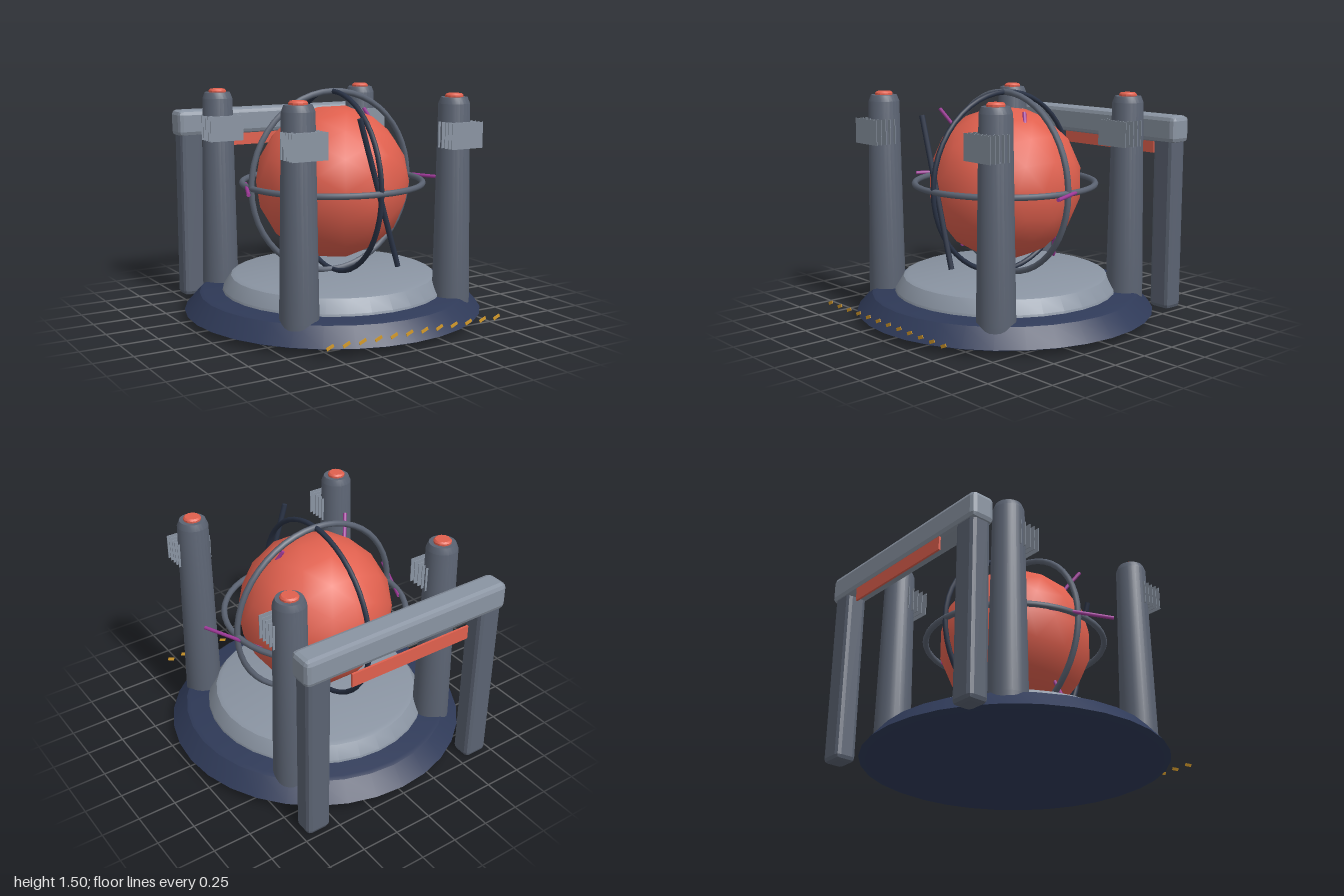
import * as THREE from 'three';
import { toCreasedNormals } from 'three/addons/utils/BufferGeometryUtils.js';
import { RoundedBoxGeometry } from 'three/addons/geometries/RoundedBoxGeometry.js';

const paint = (color, extra = {}) => new THREE.MeshStandardMaterial({ color, ...extra });
const V = (x, y, z) => new THREE.Vector3(x, y, z);

export function createModel() {
  const model = new THREE.Group();
  const navy = paint(0x2f3a58), coral = paint(0xe0604e), steel = paint(0x5b6372);
  const dark = paint(0x2a3346), purple = paint(0xa03a9a), gold = paint(0xd49a2a);
  const light = paint(0x8a94a2), lightFlat = paint(0x8a94a2, { flatShading: true });

  const add = (name, geometry, material, x = 0, y = 0, z = 0) => {
    const mesh = new THREE.Mesh(geometry, material);
    mesh.name = name;
    mesh.position.set(x, y, z);
    model.add(mesh);
    return mesh;
  };
  // Turned solid from [radius, height] pairs, bottom to top
  const turned = (points, sides) => toCreasedNormals(
    new THREE.LatheGeometry(points.map(([r, y]) => new THREE.Vector2(r, y)), sides), 0.4);
  // Straight round bar between two points
  const rod = (name, a, b, radius, material) => {
    const mesh = add(name, new THREE.CylinderGeometry(radius, radius, a.distanceTo(b), 8), material);
    mesh.position.copy(a).add(b).multiplyScalar(0.5);
    mesh.quaternion.setFromUnitVectors(V(0, 1, 0), b.clone().sub(a).normalize());
  };

  // Stepped round base
  add('base', turned([[0, 0.03], [0.95, 0.03], [0.99, 0.047], [0.89, 0.16], [0.865, 0.17], [0, 0.17]], 32), navy);
  add('platform', turned([[0, 0.16], [0.74, 0.16], [0.735, 0.185], [0.68, 0.268], [0.65, 0.28], [0, 0.28]], 32), light);

  // Core sphere and its three rings
  const cy = 0.885;
  add('core', new THREE.IcosahedronGeometry(0.508, 2), coral, 0, cy);
  add('uprightRing', new THREE.TorusGeometry(0.597, 0.02, 8, 48), steel, 0, cy);
  add('levelRing', new THREE.TorusGeometry(0.597, 0.02, 8, 48), steel, 0, cy).rotation.x = Math.PI / 2;
  add('crossRing', new THREE.TorusGeometry(0.597, 0.017, 8, 48), dark, 0, cy).rotation.y = Math.PI / 2;
  rod('slantedBar', V(-0.143, 1.355, 0.57), V(0.143, 0.41, 0.57), 0.018, dark);

  // Sparks around the core
  [
    [V(-0.40, 1.36, 0.23), V(-0.31, 1.17, 0.11)],
    [V(0.222, 1.365, 0.03), V(0.28, 1.25, 0.075)],
    [V(-0.385, 0.40, 0.06), V(-0.31, 0.58, 0.03)],
    [V(0.24, 0.40, -0.22), V(0.32, 0.56, -0.15)],
    [V(-0.715, cy, 0.2), V(-0.54, cy, -0.2)],
    [V(0.715, cy, 0.2), V(0.54, cy, -0.2)],
  ].forEach(([a, b]) => rod('spark', a, b, 0.012, purple));

  // Four tapered pillars with caps and cooling fins
  const pillar = turned([[0, 0.035], [0.122, 0.035], [0.122, 0.16], [0.101, 1.42], [0.085, 1.46], [0, 1.46]], 24);
  const cap = turned([[0, 1.45], [0.058, 1.45], [0.058, 1.472], [0.048, 1.483], [0, 1.483]], 12);
  const fin = new THREE.BoxGeometry(0.24, 0.165, 0.004);
  for (const x of [-0.565, 0.565]) {
    for (const z of [-0.565, 0.565]) {
      add('pillar', pillar, steel, x, 0, z);
      add('pillarCap', cap, coral, x, 0, z);
      for (let i = 0; i < 5; i++) add('fin', fin, light, x, 1.225, z + i * 0.036);
    }
  }

  // Rear gantry
  const leg = new RoundedBoxGeometry(0.165, 1.2, 0.14, 1, 0.03);
  for (const x of [-0.635, 0.635]) add('gantryLeg', leg, paint(0x5b6372, { flatShading: true }), x, 0.6, -0.905);
  add('gantryBeam', new RoundedBoxGeometry(1.47, 0.18, 0.165, 1, 0.032), lightFlat, 0, 1.228, -0.907);
  add('gantryPanel', new THREE.BoxGeometry(0.86, 0.09, 0.014), coral, 0, 1.082, -0.991);

  // Row of slanted dashes along the front
  const dash = new THREE.BoxGeometry(0.05, 0.02, 0.004);
  for (let i = 0; i < 12; i++) {
    add('warningDash', dash, gold, -0.602 + i * 0.1095, 0.115, 0.995).rotation.z = 0.4;
  }
  return model;
}
